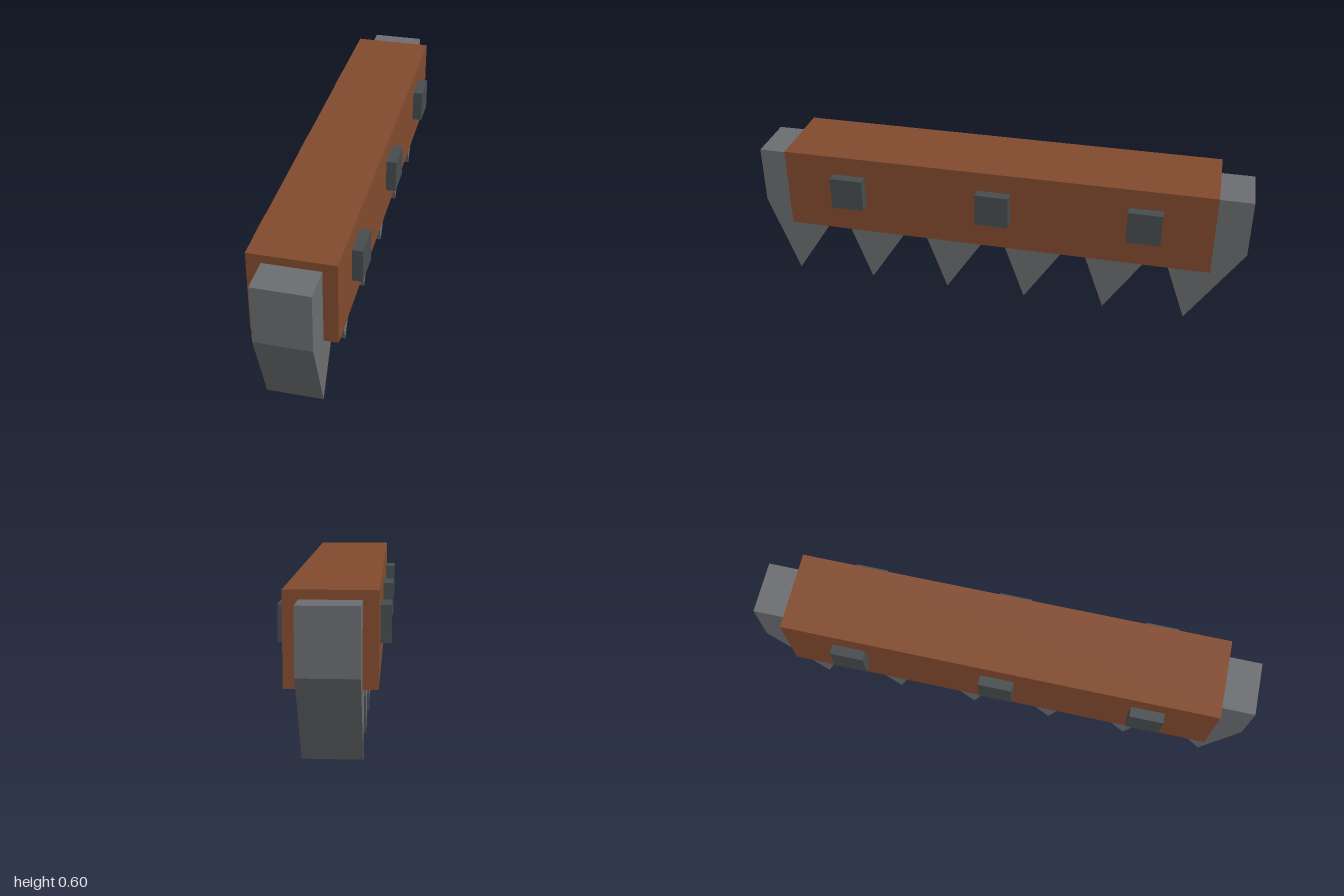
import * as THREE from 'three';

export function createModel() {
  const model = new THREE.Group();
  model.name = 'toothedBladeBar';

  const make = (name, color) => {
    const m = new THREE.MeshStandardMaterial({ color, flatShading: true });
    m.name = name;
    return m;
  };
  const rust = make('rust brown', 0x824b2e);
  const steel = make('steel grey', 0x6b6d70);
  const iron = make('dark iron', 0x464c4e);

  const add = (name, geometry, material, x = 0, y = 0, z = 0) => {
    const mesh = new THREE.Mesh(geometry, material);
    mesh.name = name;
    mesh.position.set(x, y, z);
    model.add(mesh);
  };

  // Saw blade: one side profile (z, y) with six raked teeth, extruded across x
  const teeth = 6, pitch = 2 / teeth, root = 0.334, width = 0.213;
  const profile = new THREE.Shape();
  profile.moveTo(1, 0.569);
  profile.lineTo(-1, 0.569);
  profile.lineTo(-1, root);
  for (let i = 0; i < teeth; i++) {
    const back = -1 + i * pitch;
    profile.lineTo(back + pitch * 0.65, 0);
    profile.lineTo(back + pitch, root);
  }
  const blade = new THREE.ExtrudeGeometry(profile, { depth: width, bevelEnabled: false });
  blade.translate(0, 0, -width / 2).rotateY(-Math.PI / 2);
  add('toothedBlade', blade, steel);

  // Holder bar wrapped around the blade
  add('holderBar', new THREE.BoxGeometry(0.32, 0.334, 1.734), rust, 0, 0.435, 0);

  // Square bolt heads on both sides
  const bolt = new THREE.BoxGeometry(0.06, 0.134, 0.134);
  for (const side of [-1, 1]) {
    for (const z of [-0.6, 0, 0.6]) {
      add(side > 0 ? 'leftBolt' : 'rightBolt', bolt, iron, side * 0.17, 0.455, z);
    }
  }
  return model;
}
